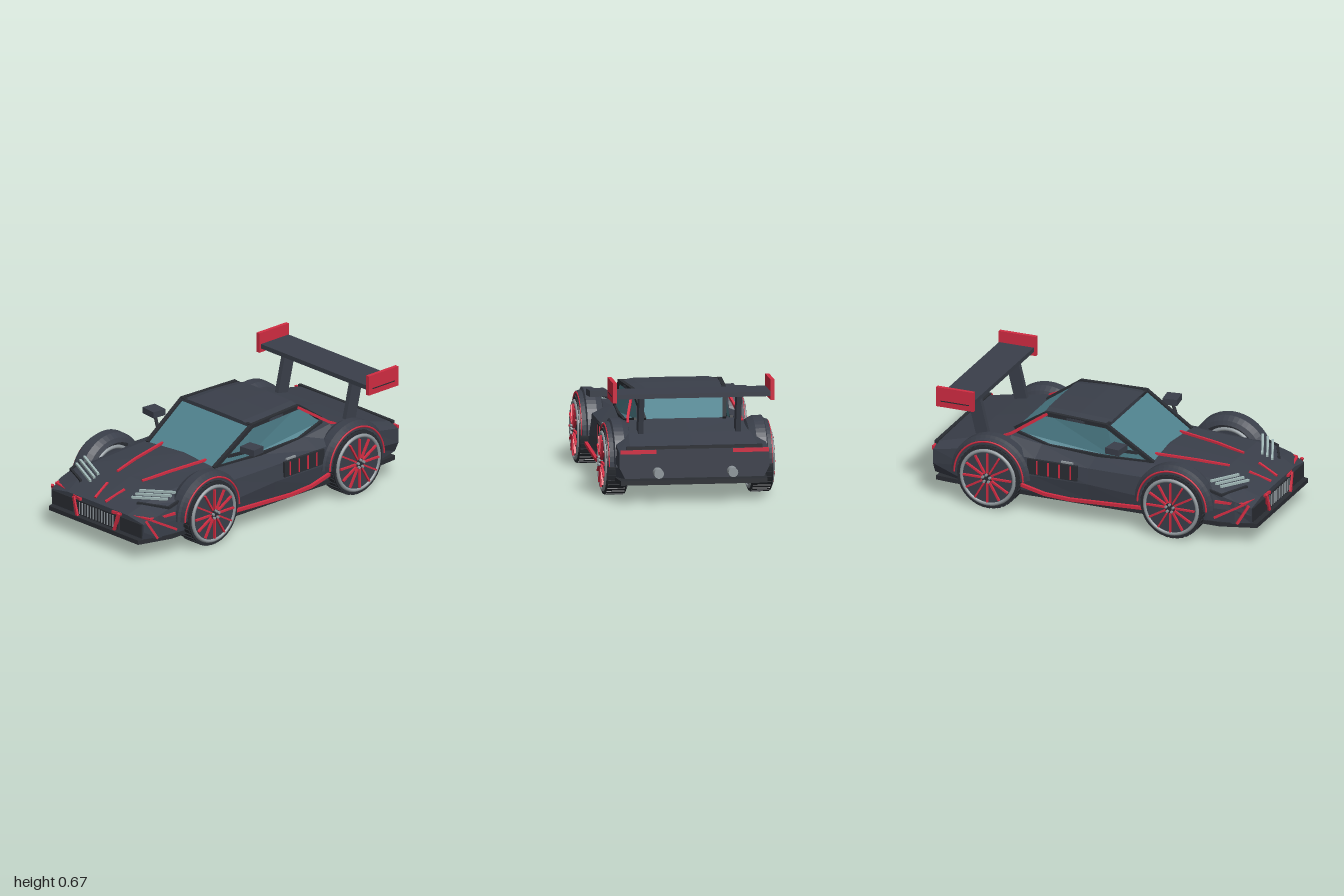
import * as THREE from 'three';
import { mergeGeometries } from 'three/addons/utils/BufferGeometryUtils.js';

const material = (name, color, extra = {}) => {
  const m = new THREE.MeshStandardMaterial({ color, ...extra });
  m.name = name;
  return m;
};

export function createModel() {
  const car = new THREE.Group();
  car.name = 'raceCar';
  const paint = material('body paint', 0x3a3f4a, { flatShading: true, side: THREE.DoubleSide });
  const black = material('black trim', 0x2a2d33, { flatShading: true });
  const red = material('red accent', 0xd22c42);
  const glass = material('tinted glass', 0x4f818d, { flatShading: true, side: THREE.DoubleSide });
  const metal = material('metal', 0x8f979c);
  const lamp = material('headlight', 0xa3bab9);

  const add = (name, geo, mat, x = 0, y = 0, z = 0, parent = car) => {
    const mesh = new THREE.Mesh(geo, mat);
    mesh.name = name;
    mesh.position.set(x, y, z);
    parent.add(mesh);
    return mesh;
  };
  const box = (name, mat, size, pos, parent) => add(name, new THREE.BoxGeometry(...size), mat, ...pos, parent);
  const both = (fn) => [1, -1].forEach(fn);
  const flip = (pts, s) => pts.map(([x, y, z]) => [x * s, y, z]);

  // Square bars following a path
  const bar = (name, mat, pts, w = 0.014, h = w, parent = car) => {
    const pieces = [];
    for (let i = 0; i + 1 < pts.length; i++) {
      const a = new THREE.Vector3(...pts[i]), b = new THREE.Vector3(...pts[i + 1]);
      const o = new THREE.Object3D();
      o.position.copy(a).add(b).multiplyScalar(0.5);
      o.lookAt(b);
      o.updateMatrix();
      pieces.push(new THREE.BoxGeometry(w, h, a.distanceTo(b) + w * 0.5).applyMatrix4(o.matrix));
    }
    return add(name, mergeGeometries(pieces), mat, 0, 0, 0, parent);
  };

  // Mirrored cross-sections [z, [x, y]...] from lower edge to centre line, front to back
  const loft = (sections) => {
    const rings = sections.map(([z, ...half]) => [
      ...half.map(([x, y]) => [x, y, z]),
      ...half.filter(([x]) => x > 0).reverse().map(([x, y]) => [-x, y, z]),
    ]);
    const n = rings[0].length, last = (rings.length - 1) * n, index = [];
    for (let i = 0; i + 1 < rings.length; i++) {
      for (let j = 0; j < n; j++) {
        const a = i * n + j, b = i * n + (j + 1) % n;
        index.push(a, a + n, b, a + n, b + n, b);
      }
    }
    for (let j = 1; j + 1 < n; j++) index.push(0, j, j + 1, last, last + j + 1, last + j);
    const geo = new THREE.BufferGeometry();
    geo.setAttribute('position', new THREE.Float32BufferAttribute(rings.flat(2), 3));
    geo.setIndex(index);
    const flat = geo.toNonIndexed();
    flat.computeVertexNormals();
    return flat;
  };

  // Flat panel fanned from its first corner
  const panel = (name, mat, pts) => {
    const geo = new THREE.BufferGeometry();
    const tris = [];
    for (let i = 1; i + 1 < pts.length; i++) tris.push(pts[0], pts[i], pts[i + 1]);
    geo.setAttribute('position', new THREE.Float32BufferAttribute(tris.flat(2), 3));
    geo.computeVertexNormals();
    return add(name, geo, mat);
  };

  // Body shell, floor and roof
  add('body', loft([
    [0.97, [0.36, 0.12], [0.37, 0.17], [0.37, 0.215], [0.24, 0.235], [0, 0.237]],
    [0.88, [0.4, 0.12], [0.4, 0.2], [0.395, 0.25], [0.26, 0.275], [0, 0.28]],
    [0.72, [0.42, 0.12], [0.42, 0.2], [0.4, 0.295], [0.3, 0.325], [0, 0.33]],
    [0.33, [0.41, 0.12], [0.42, 0.2], [0.4, 0.31], [0.29, 0.35], [0, 0.363]],
    [0, [0.4, 0.12], [0.415, 0.22], [0.4, 0.31], [0.29, 0.345], [0, 0.35]],
    [-0.32, [0.41, 0.12], [0.42, 0.22], [0.41, 0.32], [0.31, 0.37], [0, 0.37]],
    [-0.5, [0.42, 0.12], [0.43, 0.22], [0.42, 0.33], [0.32, 0.4], [0, 0.408]],
    [-0.72, [0.42, 0.12], [0.43, 0.22], [0.42, 0.32], [0.34, 0.36], [0, 0.365]],
    [-0.93, [0.39, 0.14], [0.42, 0.2], [0.42, 0.285], [0.36, 0.31], [0, 0.315]],
  ]), paint);
  add('floor', loft([[1, 0.36], [0.8, 0.42], [-0.8, 0.42], [-0.915, 0.41]].map(
    ([z, x]) => [z, [x, 0.1], [x, 0.125], [0, 0.125]])), black);
  add('roof', loft([[0.07, 0.285, 0], [-0.13, 0.28, 0.006], [-0.33, 0.257, 0.003]].map(
    ([z, x, d]) => [z, [x, 0.515 + d], [x, 0.53 + d], [x - 0.07, 0.545 + d], [0, 0.547 + d]])), paint);

  // Cabin glass and pillars
  const wb = [0.268, 0.352, 0.33], wt = [0.28, 0.53, 0.06], rt = [0.253, 0.535, -0.32], rb = [0.225, 0.407, -0.51];
  panel('windscreen', glass, [wb, wt, ...flip([wt, wb], -1)]);
  panel('rearWindow', glass, [rt, rb, ...flip([rb, rt], -1)]);
  bar('windscreenHeader', black, [wt, ...flip([wt], -1)], 0.02);
  both((s) => {
    panel('sideWindow', glass, flip([[0.28, 0.35, 0.1], wb, wt, rt, [0.26, 0.402, -0.48], [0.295, 0.36, -0.28]], s));
    bar('pillar', black, flip([wb, wt, rt, rb], s), 0.022);
    bar('windowSill', black, flip([wb, [0.288, 0.348, 0.05], [0.3, 0.364, -0.28], [0.27, 0.404, -0.48]], s), 0.016);
    bar('rearPillarStripe', red, flip([[0.262, 0.535, -0.31], [0.315, 0.41, -0.5], [0.32, 0.392, -0.54]], s));
  });

  // Wheels, built with the outer face towards +x
  const axial = (r, w, seg, x) => new THREE.CylinderGeometry(r, r, w, seg).rotateZ(Math.PI / 2).translate(x, 0, 0);
  const radial = (count, make) => mergeGeometries(Array.from({ length: count }, (_, i) =>
    make().rotateX((i / count) * Math.PI * 2)));
  const archProfile = [[0.19, 0.325], [0.215, 0.335], [0.235, 0.37], [0.237, 0.425], [0.222, 0.432], [0.215, 0.455], [0.192, 0.457]]
    .map(([r, x]) => new THREE.Vector2(r, x));
  both((s) => [0.525, -0.58].forEach((z) => {
    const wheel = new THREE.Group();
    wheel.name = z > 0 ? 'frontWheel' : 'rearWheel';
    wheel.position.set(0, 0.188, z);
    wheel.rotation.y = s > 0 ? 0 : Math.PI;
    car.add(wheel);
    add('tyre', axial(0.183, 0.116, 40, 0.408), black, 0, 0, 0, wheel);
    add('tread', radial(36, () => new THREE.BoxGeometry(0.1, 0.012, 0.02).translate(0.408, 0.182, 0)), black, 0, 0, 0, wheel);
    add('rimDisc', axial(0.15, 0.122, 40, 0.408), paint, 0, 0, 0, wheel);
    [0.466, 0.35].forEach((x) => add('rimRing',
      new THREE.TorusGeometry(0.158, 0.011, 8, 48).rotateY(Math.PI / 2).translate(x, 0, 0), metal, 0, 0, 0, wheel));
    add('spokes', radial(12, () => new THREE.BoxGeometry(0.014, 0.118, 0.01).translate(0.475, 0.086, 0)), red, 0, 0, 0, wheel);
    add('hub', axial(0.03, 0.02, 16, 0.472), black, 0, 0, 0, wheel);
    add('wheelBolts', radial(5, () => axial(0.008, 0.03, 8, 0.478).translate(0, 0.022, 0)), metal, 0, 0, 0, wheel);
    add('wheelArch', new THREE.LatheGeometry(archProfile, 24, Math.PI, Math.PI).rotateZ(-Math.PI / 2), paint, 0, 0, 0, wheel);
    add('archTrim', new THREE.TorusGeometry(0.207, 0.006, 6, 32, Math.PI).rotateY(Math.PI / 2), red, 0.455, 0, 0, wheel);
  }));

  // Nose: grille, intakes, lights and accents
  box('grille', black, [0.34, 0.085, 0.012], [0, 0.172, 0.972]);
  for (let i = 0; i < 13; i++) box('grilleBar', metal, [0.005, 0.07, 0.008], [(i - 6) * 0.0225, 0.172, 0.979]);
  both((s) => {
    box('intake', black, [0.17, 0.08, 0.016], [s * 0.275, 0.172, 0.968]);
    for (let k = 0; k < 3; k++) {
      bar('headlight', lamp, flip([[0.17, 0.293 + 0.012 * k, 0.865 - 0.03 * k], [0.365, 0.316 + 0.012 * k, 0.785 - 0.03 * k]], s), 0.013);
    }
    bar('headlightTrim', black, flip([[0.23, 0.279, 0.88], [0.395, 0.277, 0.8], [0.4, 0.3, 0.72]], s), 0.014);
    bar('bumperStripe', red, flip([[0.13, 0.225, 0.977], [0.375, 0.234, 0.925], [0.41, 0.24, 0.77]], s), 0.015);
    bar('bumperBlade', red, flip([[0.18, 0.225, 0.978], [0.15, 0.125, 0.982]], s), 0.017);
    bar('cornerBlade', red, flip([[0.38, 0.23, 0.955], [0.41, 0.13, 0.9]], s), 0.014);
    bar('cornerStripe', red, flip([[0.385, 0.232, 0.92], [0.424, 0.15, 0.77]], s), 0.012);
    bar('noseAccent', red, flip([[0.068, 0.298, 0.83], [0.042, 0.252, 0.945]], s), 0.013);
    bar('bonnetCrease', red, flip([[0.175, 0.365, 0.31], [0.135, 0.35, 0.55], [0.1, 0.331, 0.72]], s), 0.013);

    // Sides: skirt, vent, handle and mirror
    bar('sideSkirt', red, flip([[0.43, 0.14, 0.34], [0.435, 0.122, -0.1], [0.435, 0.13, -0.25], [0.43, 0.16, -0.39]], s), 0.018);
    box('sideVent', black, [0.016, 0.09, 0.3], [s * 0.416, 0.275, -0.21]);
    for (let i = 0; i < 4; i++) box('ventSlat', red, [0.014, 0.08, 0.008], [s * 0.421, 0.275, -0.1 - i * 0.067]);
    box('doorHandle', metal, [0.012, 0.01, 0.07], [s * 0.398, 0.323, -0.13]);
    bar('mirrorArm', black, flip([[0.285, 0.4, 0.24], [0.37, 0.435, 0.18]], s), 0.016);
    const mirror = box('mirror', paint, [0.1, 0.036, 0.085], [s * 0.395, 0.452, 0.165]);
    mirror.rotation.y = s * 0.12;

    // Rear wing supports and end plates
    bar('wingStrut', paint, flip([[0.273, 0.34, -0.685], [0.273, 0.585, -0.745]], s), 0.028, 0.075);
    box('wingEndPlate', red, [0.022, 0.115, 0.225], [s * 0.442, 0.617, -0.785]);
    box('endPlateSlot', black, [0.004, 0.006, 0.17], [s * 0.452, 0.594, -0.785]);

    // Tail lights and exhausts
    box('tailLight', red, [0.2, 0.022, 0.014], [s * 0.315, 0.29, -0.932]);
    add('exhaust', new THREE.CylinderGeometry(0.027, 0.027, 0.1, 16).rotateX(Math.PI / 2), metal, s * 0.208, 0.175, -0.95);
  });
  box('wing', paint, [0.87, 0.026, 0.21], [0, 0.595, -0.79]);
  box('tailEdge', black, [0.76, 0.016, 0.02], [0, 0.312, -0.928]);
  return car;
}
